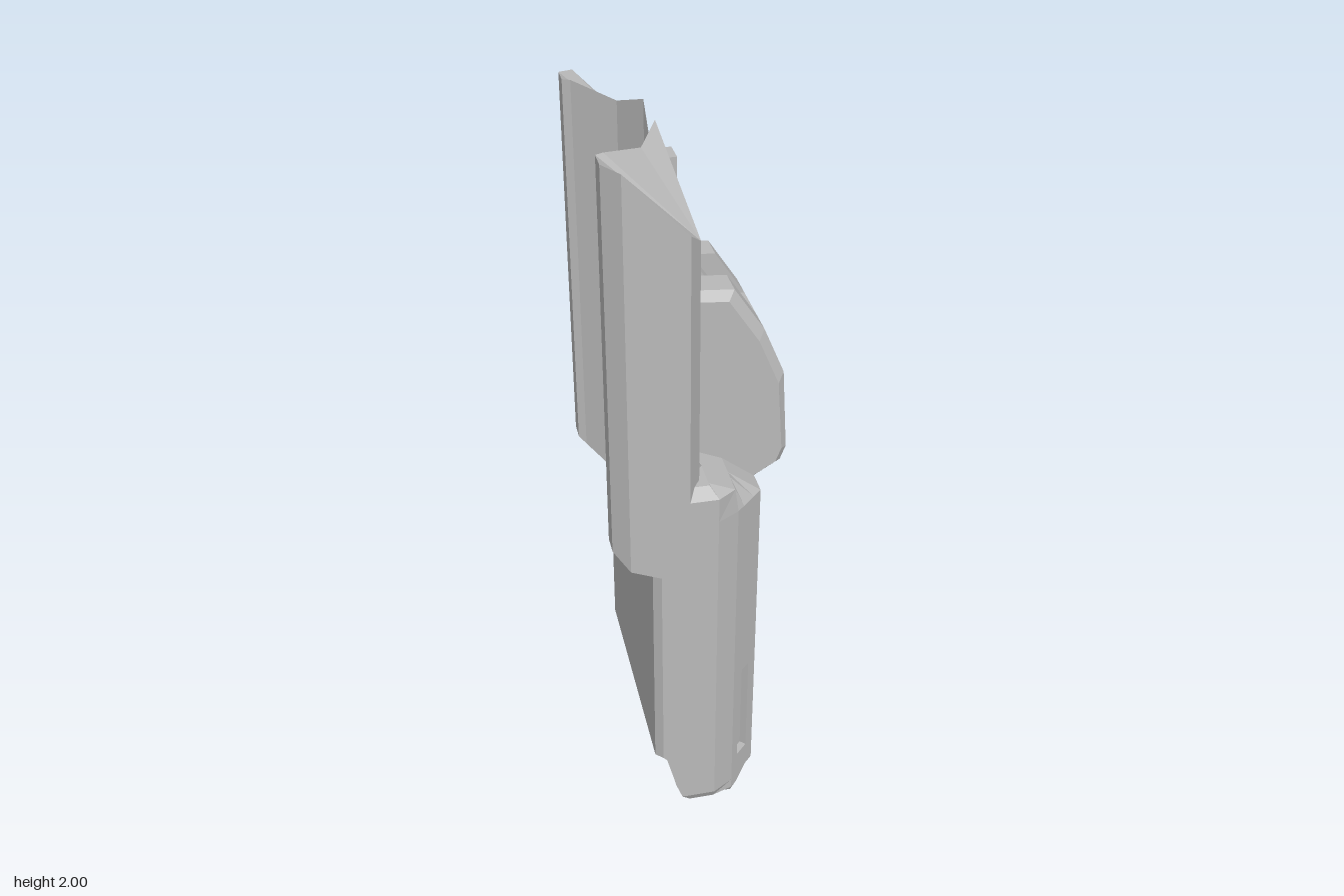
import * as THREE from 'three';

// Joins matching rings of points into a flat-faced skin and mirrors it across z = 0.
// Caps are fans from the given corner; omit one to leave that end open.
function mirroredLoft(rings, { closed = false, top, bottom } = {}) {
  const pos = [];
  const tri = (a, b, c) => {
    pos.push(...a, ...b, ...c);
    for (const p of [a, c, b]) pos.push(p[0], p[1], -p[2]);
  };
  const n = rings[0].length;
  const edges = closed ? n : n - 1;
  for (let r = 0; r < rings.length - 1; r++) {
    const p = rings[r], q = rings[r + 1];
    for (let i = 0; i < edges; i++) {
      const j = (i + 1) % n;
      tri(p[i], q[i], p[j]);
      tri(p[j], q[i], q[j]);
    }
  }
  const last = rings[rings.length - 1];
  for (let i = 0; i < n; i++) {
    const j = (i + 1) % n;
    if (top !== undefined && i !== top && j !== top) tri(last[top], last[j], last[i]);
    if (bottom !== undefined && i !== bottom && j !== bottom) tri(rings[0][bottom], rings[0][i], rings[0][j]);
  }
  const g = new THREE.BufferGeometry();
  g.setAttribute('position', new THREE.Float32BufferAttribute(pos, 3));
  g.computeVertexNormals();
  return g;
}

// Half cross-section of the lower body, from the front groove round to the back
function lowerSection(y, { front = 0.16, back = -0.15, side = 0.345, slot = 0, notch = -0.15, drop = 0 } = {}) {
  const half = [
    [front - 0.03, 0], [front - 0.03, 0.03], [front, 0.045], [front, 0.23],
    [0.135, 0.255], [0.135 - slot, 0.255 - slot], [0.1 - slot, 0.29 - slot], [0.1, 0.29],
    [0.08, 0.31], [0.02, 0.345], [-0.13, 0.345], [-0.15, 0.325],
    [-0.15, 0.11], [notch, 0.11], [notch, 0],
  ];
  return half.map(([x, z], i) => [
    Math.max(back, Math.min(front, x)), i > 10 ? y - drop : y, Math.min(side, z),
  ]);
}

export function createModel() {
  const model = new THREE.Group();
  const grey = new THREE.MeshStandardMaterial({ color: 0xb8b8b8 });
  grey.name = 'grey';
  const add = (name, geometry) => {
    const mesh = new THREE.Mesh(geometry, grey);
    mesh.name = name;
    model.add(mesh);
    return mesh;
  };

  // Lower body: twin rounded feet, front groove, side slots and sloped shoulder
  const slot = 0.014;
  add('lowerBody', mirroredLoft([
    lowerSection(0, { front: 0.08, back: -0.01, side: 0.3, notch: 0.04 }),
    lowerSection(0.02, { front: 0.11, back: -0.05, side: 0.33, notch: 0.04 }),
    lowerSection(0.05, { back: -0.075, notch: 0.04 }),
    lowerSection(0.1, { back: -0.093, notch: 0.04 }),
    lowerSection(0.13, { back: -0.1, notch: 0.04 }),
    lowerSection(0.13, { back: -0.1, notch: 0.04, slot }),
    lowerSection(0.21, { back: -0.12, notch: 0.04, slot }),
    lowerSection(0.22, { slot }),
    lowerSection(0.45, { slot }),
    lowerSection(0.45),
    lowerSection(1.03, { drop: 0.13 }),
    lowerSection(1.1, { front: 0.07, back: -0.12, drop: 0.13 }),
    lowerSection(1.13, { front: 0, back: -0.09, side: 0.32, drop: 0.13 }),
  ], { top: 3, bottom: 3 }));

  // Upper body: channel open to the back, with a peaked and notched rim.
  // Each point is x, z and the rim height.
  const channel = [
    [-0.02, 0, 1.79], [-0.02, 0.29, 1.79], [-0.055, 0.345, 1.83], [-0.21, 0.345, 1.99],
    [-0.25, 0.305, 2], [-0.25, 0.25, 2], [-0.23, 0.24, 2], [-0.13, 0.155, 1.97],
    [-0.08, 0.07, 2], [-0.07, 0.02, 1.86], [-0.07, 0, 1.86],
  ];
  add('upperBody', mirroredLoft([
    channel.map(([x, z]) => [x, 0.84 + Math.max(0, -0.15 - x) * 1.1, z]),
    channel.map(([x, z, rim]) => [x, rim, z]),
  ], { top: 1, bottom: 1 }));

  // Front housing with a slot in its top
  const outer = [
    [-0.03, 1.59], [0.1, 1.58], [0.18, 1.46], [0.235, 1.33],
    [0.25, 1.1], [0.235, 1.06], [0.17, 1.02], [-0.03, 1.02],
  ];
  const cut = outer.map(([x, y]) => [x, Math.min(y, 1.46)]);
  const atZ = (profile, z) => profile.map(([x, y]) => [x, y, z]);
  const edge = outer.map(([x, y]) => [x > 0 ? x - 0.018 : x, y > 1.3 ? y - 0.022 : y + 0.008]);
  add('frontHousing', mirroredLoft([
    atZ(cut, 0), atZ(cut, 0.062), atZ(outer, 0.062), atZ(outer, 0.142), atZ(edge, 0.163),
  ], { closed: true, top: 7 }));

  // Wedge-shaped catch standing in the housing slot
  const wedge = new THREE.Shape([
    [-0.03, 1.44], [0.09, 1.44], [0.09, 1.51], [-0.02, 1.67], [-0.03, 1.67],
  ].map(([x, y]) => new THREE.Vector2(x, y)));
  const catchGeometry = new THREE.ExtrudeGeometry(wedge, { depth: 0.07, bevelEnabled: false });
  add('catch', catchGeometry.translate(0, 0, -0.035));

  // Small block through the rim notch
  add('rimBlock', new THREE.BoxGeometry(0.1, 0.28, 0.066)).position.set(-0.07, 1.75, 0);

  return model;
}
